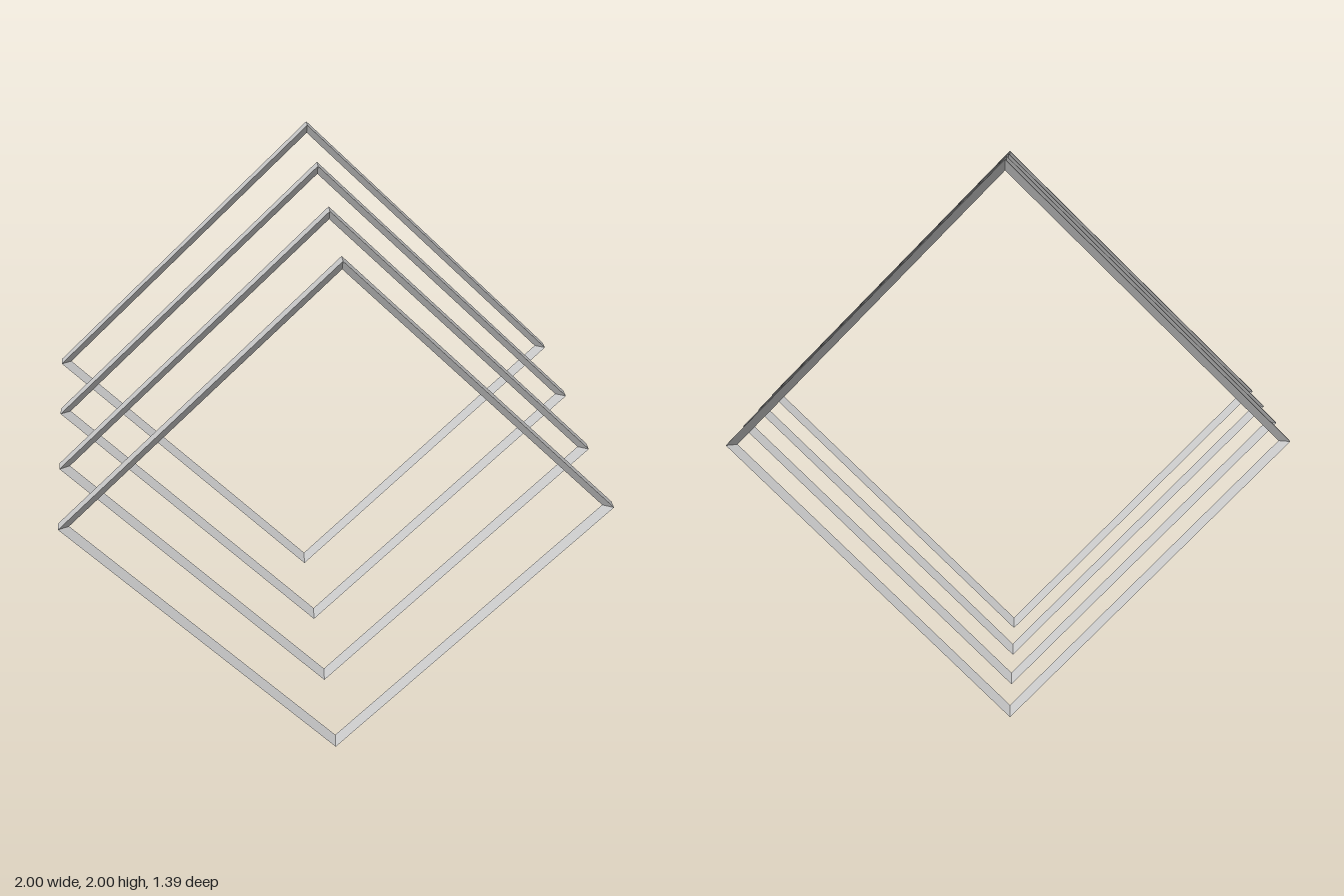
import * as THREE from 'three';

export function createModel() {
  const model = new THREE.Group();
  model.name = 'diamondFrames';
  const material = new THREE.MeshStandardMaterial({ color: 0xcccccc, flatShading: true });

  // Triangular bar section: flat side outward, ridge toward the centre
  const outer = 1, inner = 0.961, half = 0.0225;
  const section = [[inner, 0], [outer, -half], [outer, half], [inner, 0]]
    .map(([r, y]) => new THREE.Vector2(r, y));

  // Four-sided ring standing upright on one corner, turned very slightly
  const ring = new THREE.LatheGeometry(section, 4);
  ring.rotateX(Math.PI / 2);
  ring.rotateZ(-0.009);

  // Four equal frames in a row from back to front
  const spacing = 0.447;
  for (let i = 0; i < 4; i++) {
    const frame = new THREE.Mesh(ring, material);
    frame.name = `squareFrame${i + 1}`;
    frame.position.set(0, 1, (i - 1.5) * spacing);
    model.add(frame);
  }
  return model;
}
